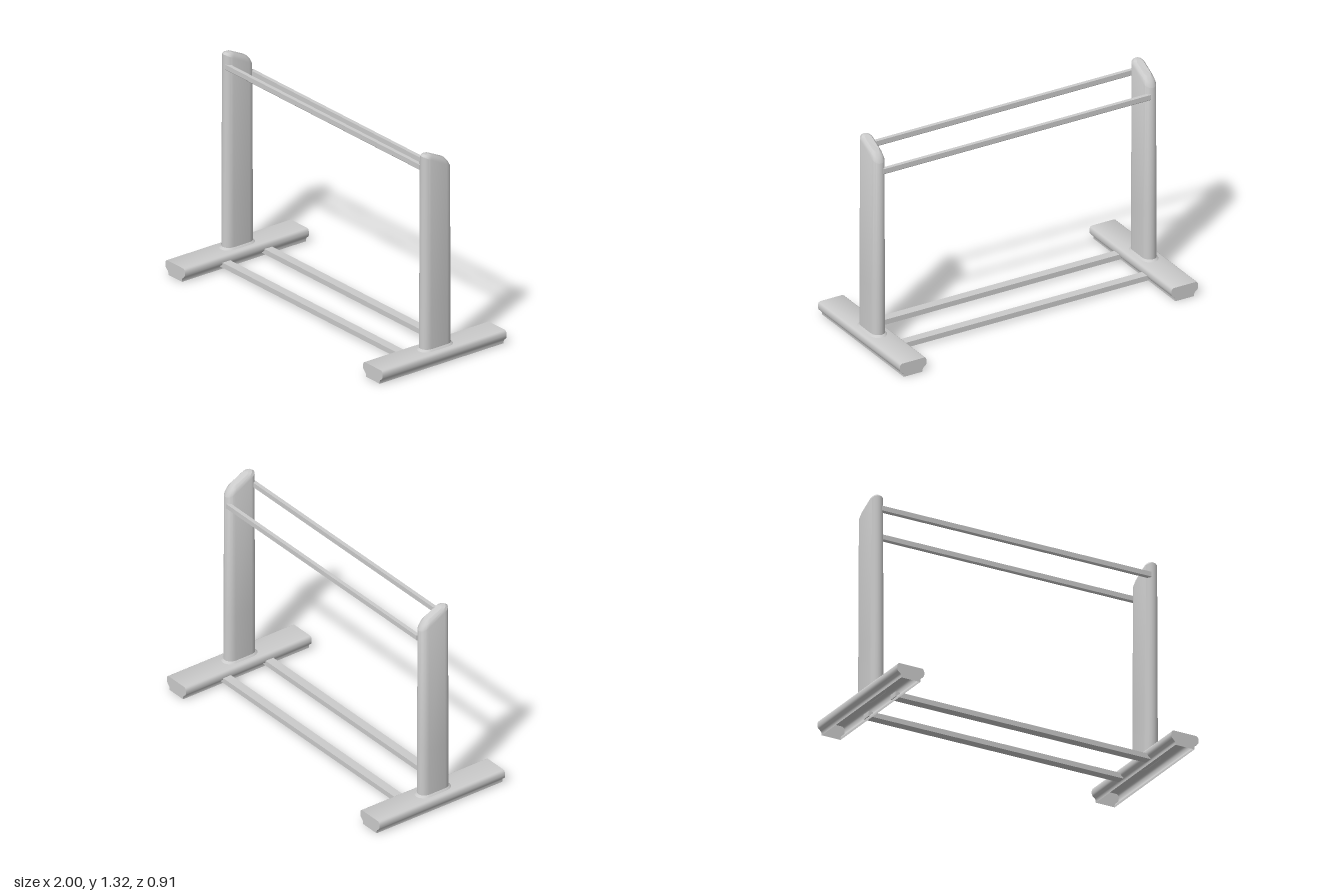
import * as THREE from 'three';
import { toCreasedNormals } from 'three/addons/utils/BufferGeometryUtils.js';

const material = new THREE.MeshStandardMaterial({ color: 0xcccccc, side: THREE.DoubleSide });

function addMesh(parent, name, geometry) {
  const mesh = new THREE.Mesh(geometry, material);
  mesh.name = name;
  parent.add(mesh);
  return mesh;
}

// Foot: moulded rail section run along z, hollow and open underneath
function footGeometry() {
  const half = [[0.063, 0], [0.063, 0.014], [0.068, 0.024], [0.083, 0.036], [0.089, 0.045],
    [0.09, 0.06], [0.089, 0.073], [0.084, 0.083], [0.076, 0.088]];
  const outline = [...half, ...half.map(([x, y]) => [-x, y]).reverse()];
  const shape = new THREE.Shape(outline.map(([x, y]) => new THREE.Vector2(x, y)));
  const solid = new THREE.ExtrudeGeometry(shape, { depth: 0.91, bevelEnabled: false });
  solid.translate(0, 0, -0.455);
  const p = solid.attributes.position;
  const kept = [];
  for (let i = 0; i < p.count; i += 3) {
    if (p.getY(i) + p.getY(i + 1) + p.getY(i + 2) < 1e-5) continue; // leave the underside open
    for (let k = i; k < i + 3; k++) kept.push(p.getX(k), p.getY(k), p.getZ(k));
  }
  const shell = new THREE.BufferGeometry();
  shell.setAttribute('position', new THREE.Float32BufferAttribute(kept, 3));
  return toCreasedNormals(shell, 0.7);
}

// Oblong ring: two half circles of radius hx joined by straight sides
function ring(hx, hz, height) {
  const points = [], n = 8;
  for (const end of [1, -1]) {
    for (let i = 0; i <= n; i++) {
      const a = (i / n) * Math.PI;
      const z = end * (hz - hx * 1.1 + Math.sin(a) * hx * 1.1);
      points.push([end * Math.cos(a) * hx, height(z), z]);
    }
  }
  return points;
}

// Post: flared root, slightly tapering shaft and a slanted, bevelled top
function postGeometry() {
  const rings = [
    ring(0.056, 0.123, () => 0.085),
    ring(0.044, 0.106, () => 0.1),
    ring(0.043, 0.105, () => 0.4),
    ring(0.04, 0.101, z => 1.257 + 0.525 * z),
    ring(0.033, 0.085, z => 1.278 + 0.5 * z),
    ring(0.021, 0.06, z => 1.292 + 0.475 * z),
  ];
  const n = rings[0].length, index = [];
  for (let r = 0; r < rings.length - 1; r++) {
    for (let i = 0; i < n; i++) {
      const a = r * n + i, b = r * n + (i + 1) % n;
      index.push(a, a + n, b, b, a + n, b + n);
    }
  }
  const top = (rings.length - 1) * n;
  for (let i = 1; i < n - 1; i++) index.push(top, top + i + 1, top + i);
  const geometry = new THREE.BufferGeometry();
  geometry.setAttribute('position', new THREE.Float32BufferAttribute(rings.flat(2), 3));
  geometry.setIndex(index);
  return toCreasedNormals(geometry.toNonIndexed(), 0.5);
}

// Hanging rail: slim bar with bevelled lower edges, run along x
function railGeometry(length) {
  const section = [[-0.012, 0.018], [-0.012, -0.012], [-0.006, -0.018],
    [0.006, -0.018], [0.012, -0.012], [0.012, 0.018]];
  const shape = new THREE.Shape(section.map(([x, y]) => new THREE.Vector2(x, y)));
  const geometry = new THREE.ExtrudeGeometry(shape, { depth: length, bevelEnabled: false });
  return geometry.translate(0, 0, -length / 2).rotateY(Math.PI / 2);
}

export function createModel() {
  const model = new THREE.Group();
  model.name = 'rack';

  // End stands
  const foot = footGeometry(), post = postGeometry();
  for (const [side, x] of [['left', 0.91], ['right', -0.91]]) {
    const stand = new THREE.Group();
    stand.name = side + 'Stand';
    stand.position.x = x;
    addMesh(stand, side + 'Foot', foot);
    addMesh(stand, side + 'Post', post);
    model.add(stand);
  }

  // Upper rails, the front one higher
  const rail = railGeometry(1.79);
  addMesh(model, 'frontRail', rail).position.set(0, 1.232, 0.087);
  addMesh(model, 'backRail', rail).position.set(0, 1.148, -0.094);

  // Flat stretchers between the feet
  const stretcher = new THREE.BoxGeometry(1.7, 0.032, 0.056);
  addMesh(model, 'frontStretcher', stretcher).position.set(0, 0.036, 0.15);
  addMesh(model, 'backStretcher', stretcher).position.set(0, 0.036, -0.157);

  return model;
}
